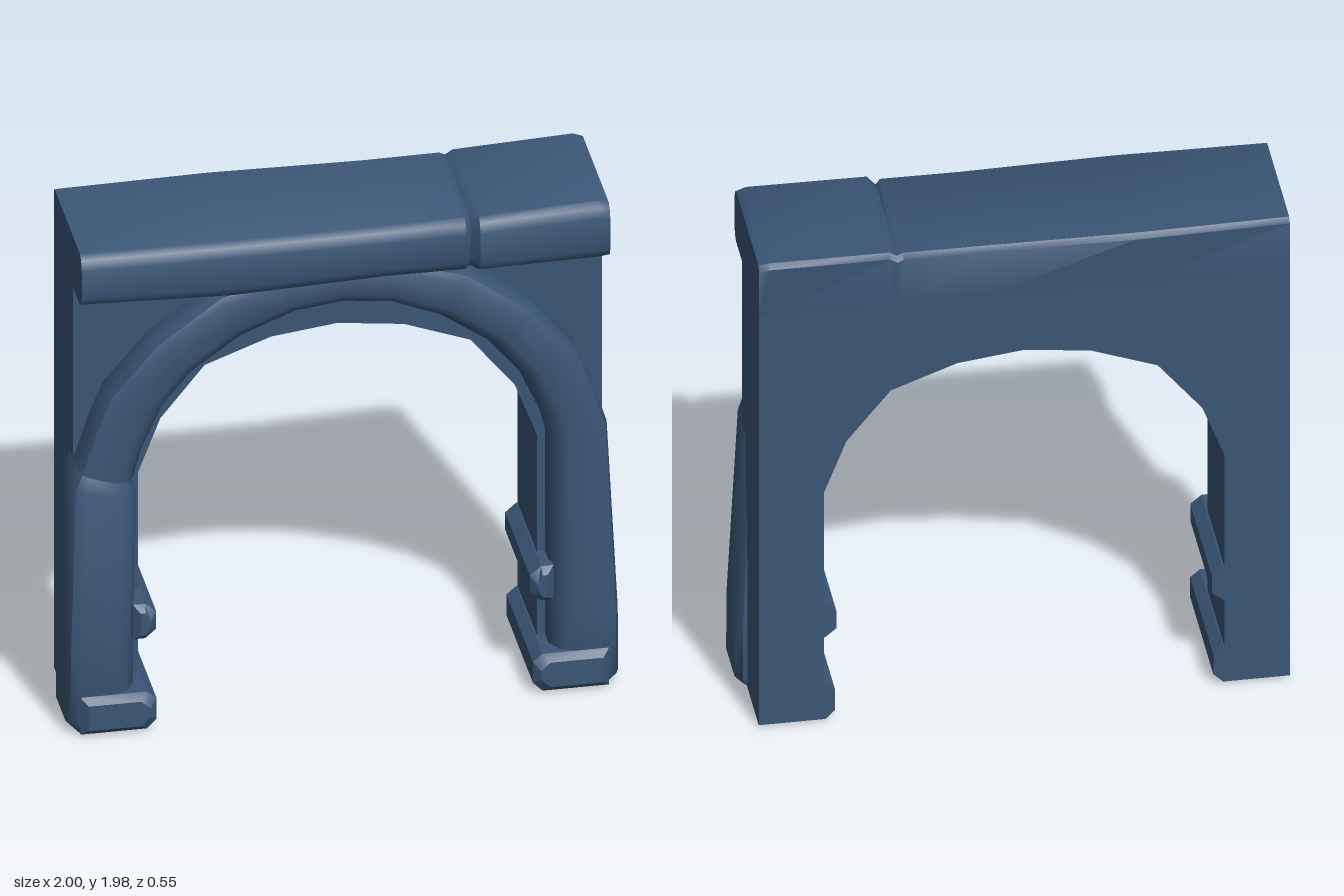
import * as THREE from 'three';
import { toCreasedNormals } from 'three/addons/utils/BufferGeometryUtils.js';

const stone = new THREE.MeshStandardMaterial({ color: 0x3a5676 });
stone.name = 'blue stone';

// Closed solid skinned through rings of [x, y, z] points, wound outward
function loft(rings, crease = 0.7) {
  const tris = [];
  const n = rings[0].length;
  for (let i = 0; i < rings.length - 1; i++) {
    for (let j = 0; j < n; j++) {
      const k = (j + 1) % n;
      const [a, b, c, d] = [rings[i][j], rings[i][k], rings[i + 1][k], rings[i + 1][j]];
      tris.push([a, b, c], [a, c, d]);
    }
  }
  const first = rings[0], last = rings[rings.length - 1];
  for (let j = 1; j < n - 1; j++) {
    tris.push([first[0], first[j + 1], first[j]], [last[0], last[j], last[j + 1]]);
  }
  // A negative volume means the winding is inside out
  const v = (p) => new THREE.Vector3(...p);
  const volume = tris.reduce((s, [a, b, c]) => s + v(a).dot(v(b).cross(v(c))), 0);
  if (volume < 0) tris.forEach((t) => t.reverse());
  const geo = new THREE.BufferGeometry();
  geo.setAttribute('position', new THREE.Float32BufferAttribute(tris.flat(2), 3));
  return toCreasedNormals(geo, crease);
}

// Moulding section between an inner and an outer point
function section([ix, iy, ox, oy, back, front]) {
  const profile = [[0, back], [0, front - 0.075], [0.13, front - 0.02], [0.3, front],
    [0.82, front], [0.95, front - 0.015], [1, front - 0.045], [1, back + 0.03], [0.9, back]];
  return profile.map(([t, z]) => [ix + (ox - ix) * t, iy + (oy - iy) * t, z]);
}

// Prism along z from an xy outline, with a bevelled front end
function bevelPrism(outline, back, front, bevel) {
  const cx = outline.reduce((s, p) => s + p[0], 0) / outline.length;
  const cy = outline.reduce((s, p) => s + p[1], 0) / outline.length;
  const shrink = ([x, y]) => [
    x - Math.sign(x - cx) * Math.min(bevel, Math.abs(x - cx)),
    y - Math.sign(y - cy) * Math.min(bevel, Math.abs(y - cy)), front];
  return loft([
    outline.map(([x, y]) => [x, y, back]),
    outline.map(([x, y]) => [x, y, front - bevel]),
    outline.map(shrink),
  ], 0.5);
}

export function createModel() {
  const group = new THREE.Group();
  const add = (name, geo) => {
    const mesh = new THREE.Mesh(geo, stone);
    mesh.name = name;
    group.add(mesh);
  };

  // Wall with the faceted arch opening
  const half = [[0.72, 0.01], [0.72, 0.98], [0.64, 1.19], [0.48, 1.39], [0.24, 1.48]];
  const opening = [...half, [0, 1.51], ...half.map(([x, y]) => [-x, y]).reverse()];
  const outline = [[-0.955, 0.01], [-0.955, 1.78], [0.955, 1.78], [0.955, 0.01], ...opening];
  const wallShape = new THREE.Shape(outline.map(([x, y]) => new THREE.Vector2(x, y)));
  const wall = new THREE.ExtrudeGeometry(wallShape, { depth: 0.36, bevelEnabled: false });
  wall.translate(0, 0, -0.26);
  add('archWall', toCreasedNormals(wall, 0.6));

  // Lintel: x, top, bottom, front, back at each station, with a narrow crack
  const lintel = [
    [-0.955, 1.965, 1.757, 0.262, -0.262], [-0.4, 1.966, 1.743, 0.272, -0.274],
    [0.15, 1.963, 1.757, 0.264, -0.262], [0.435, 1.965, 1.755, 0.264, -0.262],
    [0.455, 1.955, 1.762, 0.244, -0.262], [0.483, 1.972, 1.755, 0.276, -0.263],
    [0.92, 1.983, 1.755, 0.266, -0.276], [0.955, 1.972, 1.757, 0.262, -0.27],
  ].map(([x, top, bottom, front, back]) => [
    [x, bottom, -0.26], [x, bottom, front - 0.035], [x, bottom + 0.012, front - 0.015],
    [x, bottom + 0.045, front], [x, top - 0.055, front], [x, top - 0.018, front - 0.012],
    [x, top, front - 0.035], [x, top, back + 0.015], [x, top - 0.02, back],
  ]);
  add('lintel', loft(lintel));

  // Rounded arch moulding: inner x, y, outer x, y, back, front
  const arch = [
    [0.75, 1.0, 0.955, 1.06, 0, 0.235], [0.725, 1.1, 0.905, 1.22, 0.02, 0.235],
    [0.645, 1.28, 0.85, 1.36, 0.04, 0.235], [0.53, 1.42, 0.68, 1.56, 0.04, 0.235],
    [0.36, 1.54, 0.45, 1.73, 0.04, 0.235], [0.17, 1.62, 0.22, 1.8, 0.04, 0.235],
  ];
  const mirrored = arch.map(([ix, iy, ox, oy, b, f]) => [-ix, iy, -ox, oy, b, f]).reverse();
  const leftLeg = [
    [0.765, 0, 0.965, 0, 0, 0.215], [0.75, 0.04, 0.997, 0.045, -0.02, 0.235],
    [0.75, 0.3, 0.995, 0.3, -0.02, 0.235],
  ];
  add('archMoulding', loft([...leftLeg, ...arch, [0, 1.64, 0, 1.83, 0.04, 0.235], ...mirrored].map(section)));

  // Bulkier right pillar block with a sloped shoulder
  add('rightPillar', loft([
    [-0.765, 0, -0.965, 0, 0, 0.215], [-0.75, 0.04, -1, 0.045, -0.02, 0.235],
    [-0.75, 0.35, -0.998, 0.35, -0.02, 0.237], [-0.742, 0.95, -0.983, 1.005, 0, 0.252],
    [-0.76, 0.99, -0.953, 1.06, 0.01, 0.232],
  ].map(section)));

  // Plinths and jamb ridges on both sides
  for (const [side, s] of [['left', 1], ['right', -1]]) {
    const flip = (pts) => pts.map(([x, y]) => [s * x, y]);
    const plinth = flip([[0.68, 0.045], [0.715, 0.01], [0.955, 0.01], [0.955, 0.16],
      [0.715, 0.16], [0.68, 0.13]]);
    add(side + 'Plinth', bevelPrism(plinth, -0.26, 0.262, 0.025));
    const ridge = flip([[0.675, 0.395], [0.715, 0.36], [0.76, 0.36], [0.76, 0.5],
      [0.715, 0.5], [0.675, 0.465]]);
    add(side + 'JambRidge', bevelPrism(ridge, -0.26, 0.23, 0.025));
  }
  return group;
}
